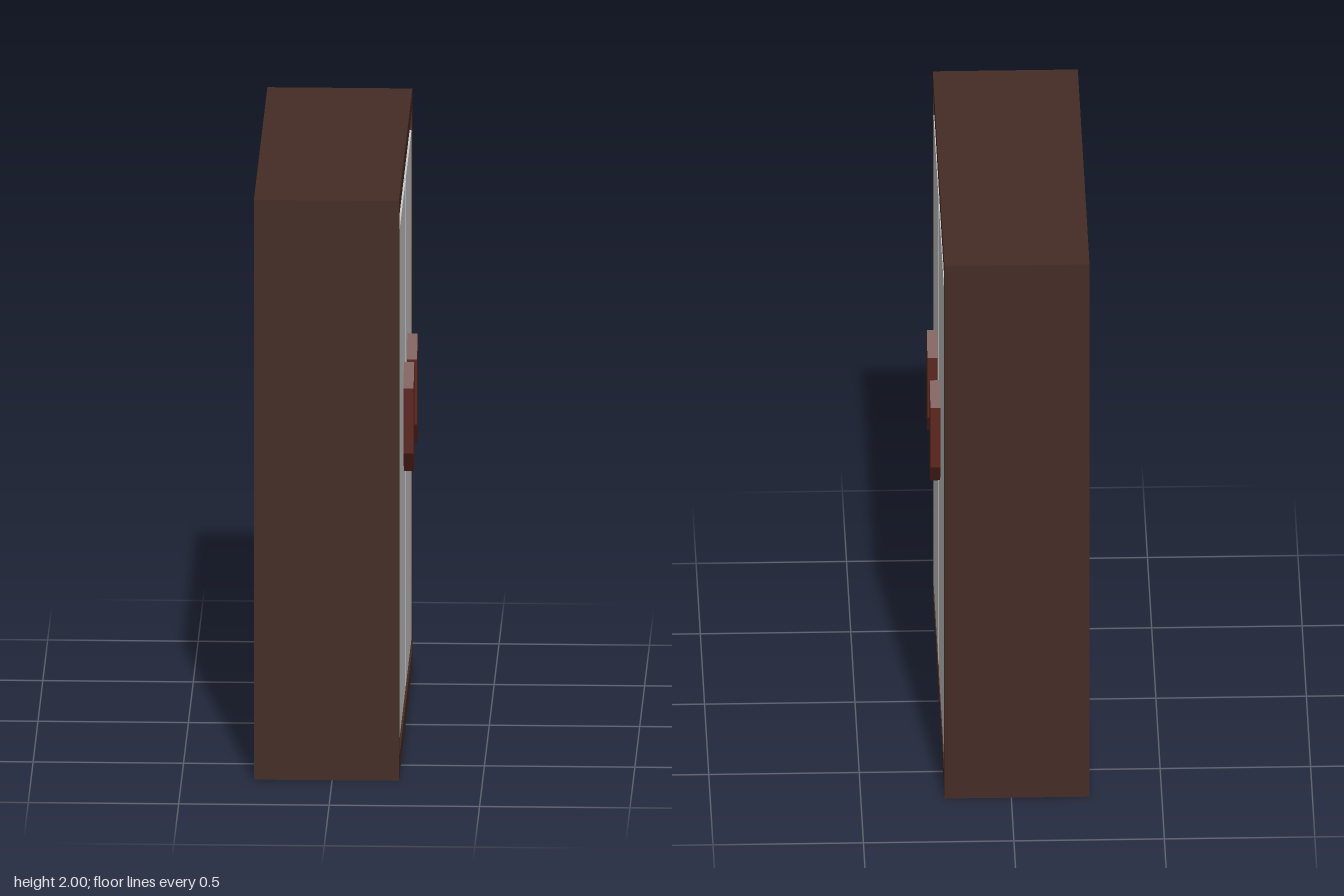
import * as THREE from 'three';

const BACK = -0.26, FRONT = 0.222, RECESS = 0.042;

const material = (color) => new THREE.MeshStandardMaterial({ color, flatShading: true });

// Box given by its extents on each axis
function block(name, [x0, x1], [y0, y1], [z0, z1], mat) {
  const mesh = new THREE.Mesh(new THREE.BoxGeometry(x1 - x0, y1 - y0, z1 - z0), mat);
  mesh.position.set((x0 + x1) / 2, (y0 + y1) / 2, (z0 + z1) / 2);
  mesh.name = name;
  return mesh;
}

// Outline drawn in (z, y), extruded along +x from x0
function slab(name, shape, x0, depth, mat) {
  const geo = new THREE.ExtrudeGeometry(shape, { depth, bevelEnabled: false });
  geo.rotateY(Math.PI / 2);
  const mesh = new THREE.Mesh(geo, mat);
  mesh.position.x = x0;
  mesh.name = name;
  return mesh;
}

const points = (list) => list.map(([a, b]) => new THREE.Vector2(a, b));

export function createModel() {
  const group = new THREE.Group();
  const wood = material(0x442c25);
  const handleWood = material(0x5c2820);
  const doorGrey = material(0xcccccc);

  // Cabinet body, with a rim around the shallow door recess
  group.add(block('cabinetBody', [BACK, FRONT - RECESS], [0, 2], [-0.693, 0.693], wood));
  const rim = new THREE.Shape(points([[-0.693, 0], [0.693, 0], [0.693, 2], [-0.693, 2]]));
  rim.holes.push(new THREE.Path(points([[-0.65, 0.07], [-0.65, 1.937], [0.65, 1.937], [0.65, 0.07]])));
  group.add(slab('frontRim', rim, FRONT - RECESS, RECESS, wood));

  // Two doors, each with an elongated hexagonal handle
  const hexagon = new THREE.Shape(points([
    [0, -0.188], [0.054, -0.112], [0.054, 0.112], [0, 0.188], [-0.054, 0.112], [-0.054, -0.112],
  ]));
  for (const [side, s] of [['left', -1], ['right', 1]]) {
    const zs = [s * 0.02, s * 0.608].sort((a, b) => a - b);
    group.add(block(side + 'Door', [FRONT - RECESS, FRONT], [0.127, 1.88], zs, doorGrey));
    const handle = slab(side + 'Handle', hexagon, FRONT, 0.034, handleWood);
    handle.position.y = 1.112;
    handle.position.z = s * 0.178;
    group.add(handle);
  }
  return group;
}
